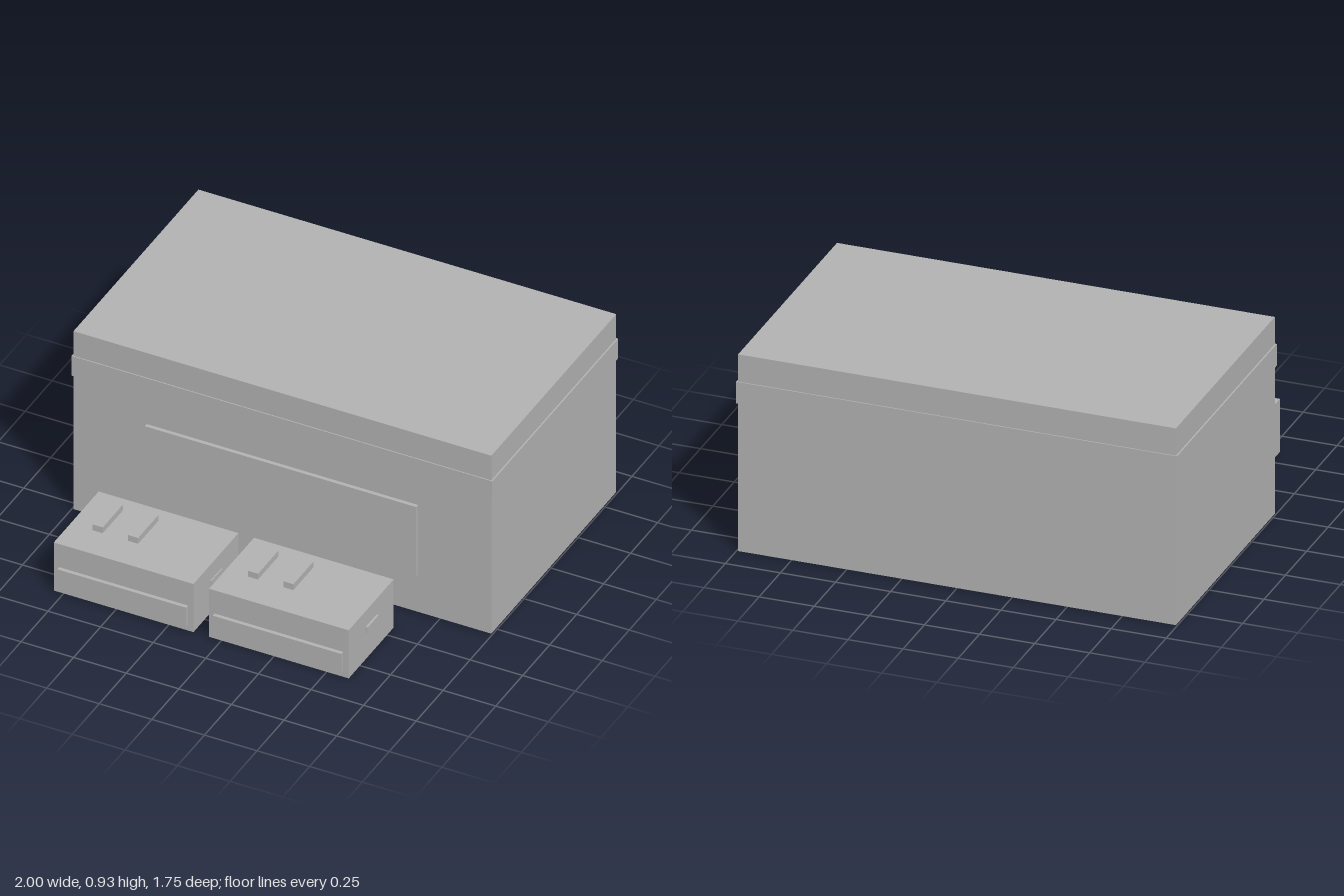
import * as THREE from 'three';

const grey = new THREE.MeshStandardMaterial({ color: 0xb2b2b2 });
grey.name = 'plain grey';

// Box given by its extents along each axis
function block(name, [x0, x1], [y0, y1], [z0, z1]) {
  const mesh = new THREE.Mesh(new THREE.BoxGeometry(x1 - x0, y1 - y0, z1 - z0), grey);
  mesh.position.set((x0 + x1) / 2, (y0 + y1) / 2, (z0 + z1) / 2);
  mesh.name = name;
  return mesh;
}

// Small case with front label, two top bars and a grip on each end
function createSmallCase(name, x, leftGrip) {
  const group = new THREE.Group();
  group.name = name;
  group.position.x = x;
  group.add(
    block('caseBody', [-0.332, 0.332], [0, 0.25], [0.438, 0.855]),
    block('caseFrontPlate', [-0.306, 0.306], [0.032, 0.13], [0.855, 0.873]),
    block('rightGrip', [-0.337, -0.33], [0.138, 0.168], [0.595, 0.698]),
    block('leftGrip', [0.33, leftGrip], [0.138, 0.168], [0.595, 0.698]),
  );
  for (const cx of [-0.202, -0.034]) {
    group.add(block('topBar', [cx - 0.024, cx + 0.024], [0.25, 0.28], [0.513, 0.701]));
  }
  return group;
}

export function createModel() {
  const model = new THREE.Group();
  model.name = 'storageBoxes';

  // Large box with a slim raised band and a front panel
  model.add(
    block('largeBox', [-0.993, 0.993], [0, 0.925], [-0.868, 0.29]),
    block('band', [-1, 1], [0.695, 0.797], [-0.873, 0.295]),
    block('frontPanel', [-0.645, 0.645], [0.19, 0.556], [0.29, 0.308]),
  );

  // Two small cases standing in front
  model.add(createSmallCase('rightCase', -0.465, 0.337));
  model.add(createSmallCase('leftCase', 0.273, 0.342));
  return model;
}
